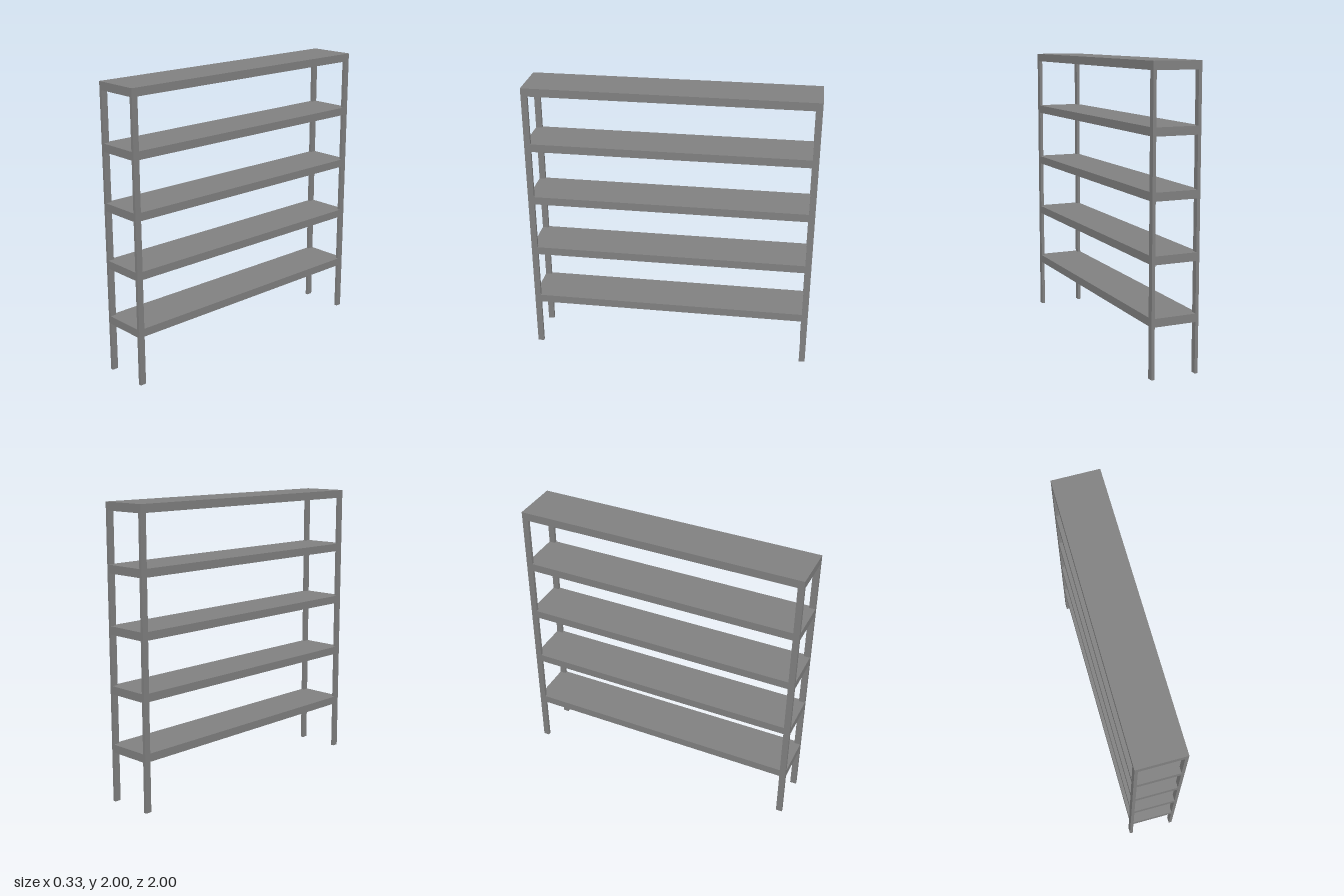
import * as THREE from 'three';

const WIDTH = 0.334, LENGTH = 2, HEIGHT = 2;
const POST_X = 0.022, POST_Z = 0.043, SHELF_H = 0.056;

export function createModel() {
  const group = new THREE.Group();
  const greyMetal = new THREE.MeshStandardMaterial({ color: 0x808080 });
  greyMetal.name = 'greyMetal';

  const addBox = (name, w, h, d, x, y, z) => {
    const mesh = new THREE.Mesh(new THREE.BoxGeometry(w, h, d), greyMetal);
    mesh.name = name;
    mesh.position.set(x, y, z);
    group.add(mesh);
  };

  // Five evenly spaced shelves, flush with the outside of the posts
  for (let i = 1; i <= 5; i++) {
    addBox(`shelf${i}`, WIDTH, SHELF_H, LENGTH, 0, i * 0.4 - SHELF_H / 2, 0);
  }

  // Four corner posts, each in sections between the shelves
  for (const sx of [-1, 1]) {
    for (const sz of [-1, 1]) {
      const name = `${sz > 0 ? 'front' : 'back'}${sx > 0 ? 'Left' : 'Right'}Post`;
      const h = HEIGHT / 5 - SHELF_H;
      for (let i = 0; i < 5; i++) {
        addBox(`${name}Section${i + 1}`, POST_X, h, POST_Z,
          sx * (WIDTH - POST_X) / 2, i * 0.4 + h / 2, sz * (LENGTH - POST_Z) / 2);
      }
    }
  }
  return group;
}
